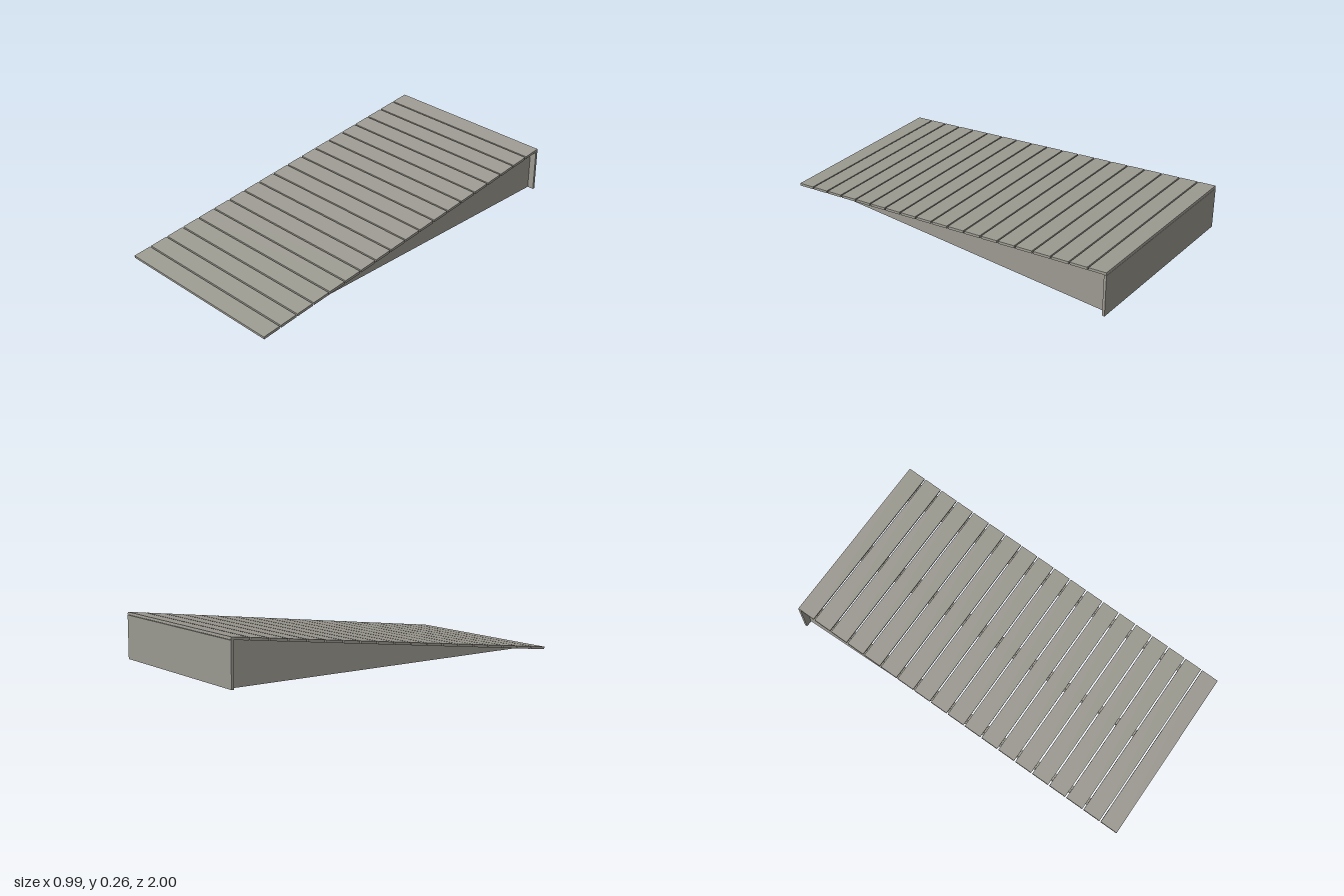
import * as THREE from 'three';

export function createModel() {
  const ramp = new THREE.Group();
  ramp.name = 'ramp';
  const wood = new THREE.MeshStandardMaterial({ color: 0x9c9a91 });
  wood.name = 'weathered wood';

  const width = 0.99, slope = 0.1244, length = 2.014, thickness = 0.014;
  const base = 0.02, panelDepth = 0.014;
  const underside = (z) => 0.125 * (0.998 - z);

  // Sloping deck of evenly spaced planks
  const deck = new THREE.Group();
  deck.name = 'deck';
  const count = 19, gap = 0.008;
  const plankDepth = (length - gap * (count - 1)) / count;
  const plankGeometry = new THREE.BoxGeometry(width, thickness, plankDepth);
  for (let i = 0; i < count; i++) {
    const plank = new THREE.Mesh(plankGeometry, wood);
    plank.name = 'plank';
    plank.position.z = -length / 2 + plankDepth / 2 + i * (plankDepth + gap);
    deck.add(plank);
  }
  deck.rotation.x = slope;
  deck.position.y = 0.132;
  ramp.add(deck);

  // Wedge joists under the deck: side profile in (-z, y), extruded along x
  const back = -1 + panelDepth, tip = 0.998 - base / 0.125, joistWidth = 0.04;
  const profile = new THREE.Shape([
    new THREE.Vector2(-tip, base),
    new THREE.Vector2(-back, base),
    new THREE.Vector2(-back, underside(back)),
  ]);
  const joistGeometry = new THREE.ExtrudeGeometry(profile, { depth: joistWidth, bevelEnabled: false });
  joistGeometry.translate(0, 0, -joistWidth / 2).rotateY(Math.PI / 2);
  for (const x of [-0.44, 0, 0.44]) {
    const joist = new THREE.Mesh(joistGeometry, wood);
    joist.name = 'joist';
    joist.position.x = x;
    ramp.add(joist);
  }

  // Upright board closing the high end
  const top = underside(back);
  const panel = new THREE.Mesh(new THREE.BoxGeometry(width, top - base, panelDepth), wood);
  panel.name = 'backBoard';
  panel.position.set(0, (top + base) / 2, -1 + panelDepth / 2);
  ramp.add(panel);

  return ramp;
}
